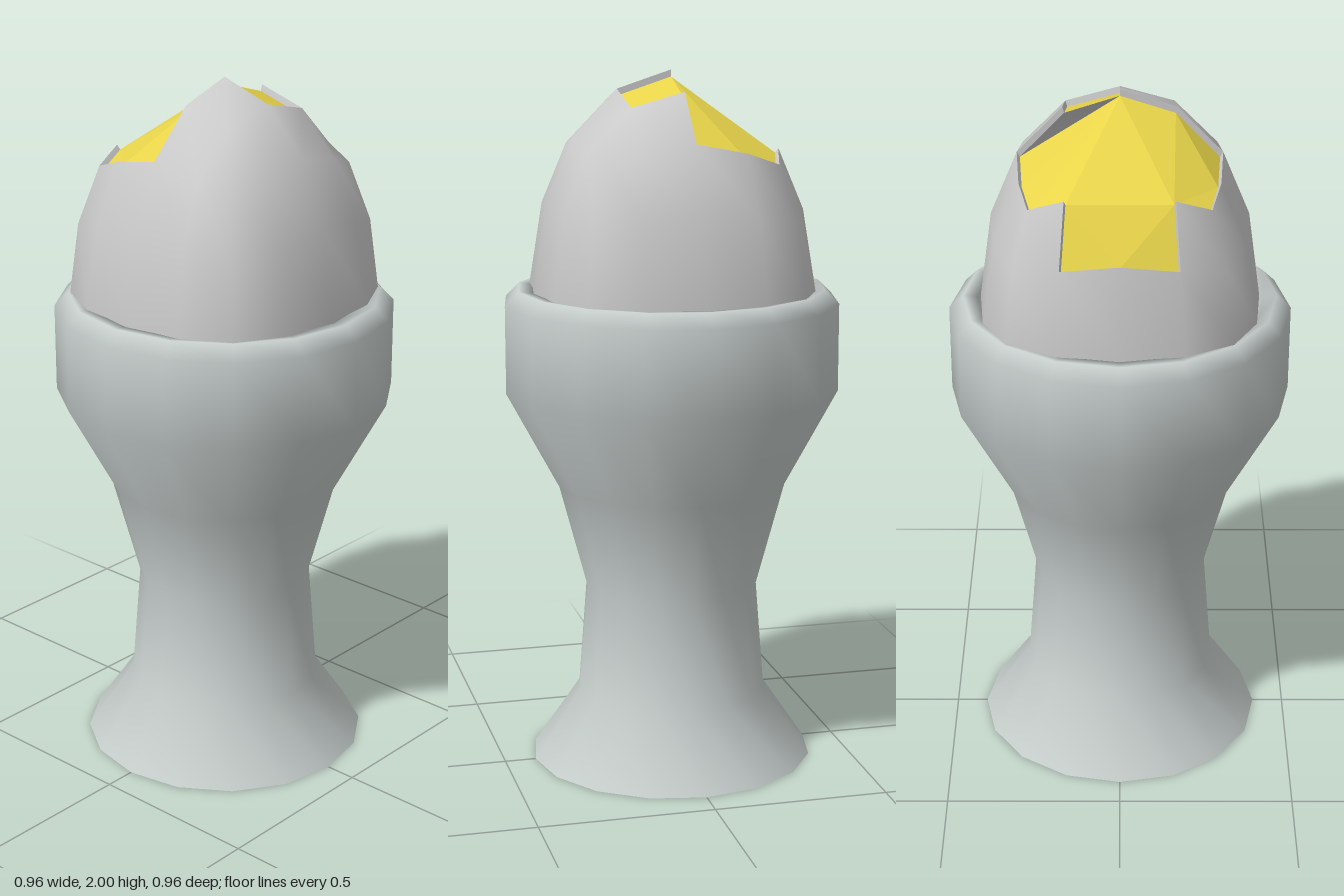
import * as THREE from 'three';
import { mergeVertices } from 'three/addons/utils/BufferGeometryUtils.js';

// Egg grid, a rounded square: level -> [long, short, y] for mid-edge, quarter and corner points
const EGG = [
  [[0, 0, 2.0]],
  [[0.155, 0, 1.95], [0.15, 0.15, 1.91]],
  [[0.28, 0, 1.82], [0.27, 0.147, 1.79], [0.244, 0.244, 1.755]],
  [[0.355, 0, 1.64], [0.34, 0.16, 1.62], [0.288, 0.288, 1.59]],
  [[0.39, 0, 1.39], [0.375, 0.175, 1.39], [0.307, 0.307, 1.39]],
  [[0.375, 0, 1.18], [0.36, 0.168, 1.18], [0.295, 0.295, 1.18]],
];
const CENTRE = new THREE.Vector3(0, 1.35, 0);

// Point of the egg grid; i and j run from -2 to 2 across the square
function eggPoint(i, j, level = Math.max(Math.abs(i), Math.abs(j))) {
  const a = Math.abs(i), b = Math.abs(j);
  const [long, short, y] = EGG[level][Math.min(a, b)];
  const x = a >= b ? long : short, z = a >= b ? short : long;
  return new THREE.Vector3(Math.sign(i) * x, y, Math.sign(j) * z);
}

const inner = (p) => p.clone().sub(CENTRE).multiplyScalar(0.97).add(CENTRE);

function geometryFrom(points, smooth) {
  let g = new THREE.BufferGeometry().setFromPoints(points);
  if (smooth) g = mergeVertices(g, 1e-4);
  g.computeVertexNormals();
  return g;
}

const addQuad = (list, [a, b, c, d]) => list.push(a, b, c, a, c, d);

// All quads of the shell, without the broken-away ones
function shellQuads() {
  const quads = [];
  for (let i = -2; i < 2; i++) {
    for (let j = -2; j < 2; j++) {
      if (i < 0 || (i === 0 && j === -1)) continue;
      quads.push([eggPoint(i, j), eggPoint(i, j + 1), eggPoint(i + 1, j + 1), eggPoint(i + 1, j)]);
    }
  }
  // walk round the square for the side rows
  const ring = [];
  for (let k = -2; k < 2; k++) ring.push([k, 2]);
  for (let k = 2; k > -2; k--) ring.push([2, k]);
  for (let k = 2; k > -2; k--) ring.push([k, -2]);
  for (let k = -2; k < 2; k++) ring.push([-2, k]);
  for (let level = 2; level < 5; level++) {
    ring.forEach(([i, j], n) => {
      const [p, q] = ring[(n + 1) % ring.length];
      if (level === 2 && i === -2 && p === -2 && Math.abs(j + q) === 1) return;
      quads.push([eggPoint(i, j, level), eggPoint(i, j, level + 1),
        eggPoint(p, q, level + 1), eggPoint(p, q, level)]);
    });
  }
  return quads;
}

export function createModel() {
  const model = new THREE.Group();
  const add = (parent, name, geometry, color, extra = {}) => {
    const mesh = new THREE.Mesh(geometry, new THREE.MeshStandardMaterial({ color, ...extra }));
    mesh.name = name;
    parent.add(mesh);
  };

  // Cup: foot, waist, bowl, rim and the hollow inside
  const cup = new THREE.Group();
  cup.name = 'eggCup';
  const profile = [[0.41, 0], [0.275, 0.2], [0.25, 0.52], [0.33, 0.82], [0.48, 1.1], [0.48, 1.35],
    [0.44, 1.39], [0.4, 1.385], [0.37, 1.15], [0.2, 0.95], [0, 0.92]];
  const points = profile.map(([r, y]) => new THREE.Vector2(r, y));
  add(cup, 'cupBody', new THREE.LatheGeometry(points, 16), 0xc6cecc);
  add(cup, 'cupBase', new THREE.CircleGeometry(0.41, 16).rotateX(Math.PI / 2), 0xc6cecc);
  model.add(cup);

  // Shell: outer skin, inner skin and the broken edge between them
  const egg = new THREE.Group();
  egg.name = 'egg';
  const quads = shellQuads();
  const key = (a, b) => [a, b].map((p) => p.toArray().map((v) => (v + 0).toFixed(3)).join()).join('|');
  const edges = new Set(quads.flatMap((q) => q.map((p, n) => key(p, q[(n + 1) % 4]))));
  const outside = [], inside = [], rim = [];
  for (const q of quads) {
    addQuad(outside, q);
    addQuad(inside, q.map(inner).reverse());
    q.forEach((a, n) => {
      const b = q[(n + 1) % 4];
      if (!edges.has(key(b, a))) addQuad(rim, [b, a, inner(a), inner(b)]);
    });
  }
  const thin = { side: THREE.DoubleSide };
  add(egg, 'shellOutside', geometryFrom(outside, true), 0xcccccc, thin);
  add(egg, 'shellInside', geometryFrom(inside, true), 0xcccccc, thin);
  add(egg, 'shellBrokenEdge', geometryFrom(rim, false), 0xcccccc, thin);

  // Yolk: faceted filling of the opening
  const y = (i, j, level) => inner(eggPoint(i, j, level));
  const top = y(0, 0), back = y(-2, -1), front = y(-2, 1), mid = y(-2, 0, 3), step = y(0, 1);
  const fans = [
    [top, y(0, -2), y(-1, -2), y(-2, -2), back],
    [top, back, front],
    [back, y(-2, -1, 3), mid, front],
    [front, mid, y(-2, 1, 3)],
    [top, front, step],
    [front, y(-2, 2), y(-1, 2), step],
    [step, y(-1, 2), y(0, 2)],
    [top, y(1, 0), y(1, -1), y(0, -1)],
  ];
  const yolk = [];
  for (const f of fans) for (let n = 1; n < f.length - 1; n++) yolk.push(f[0], f[n], f[n + 1]);
  add(egg, 'yolk', geometryFrom(yolk, false), 0xe8d44a, { ...thin, flatShading: true });
  model.add(egg);
  return model;
}
